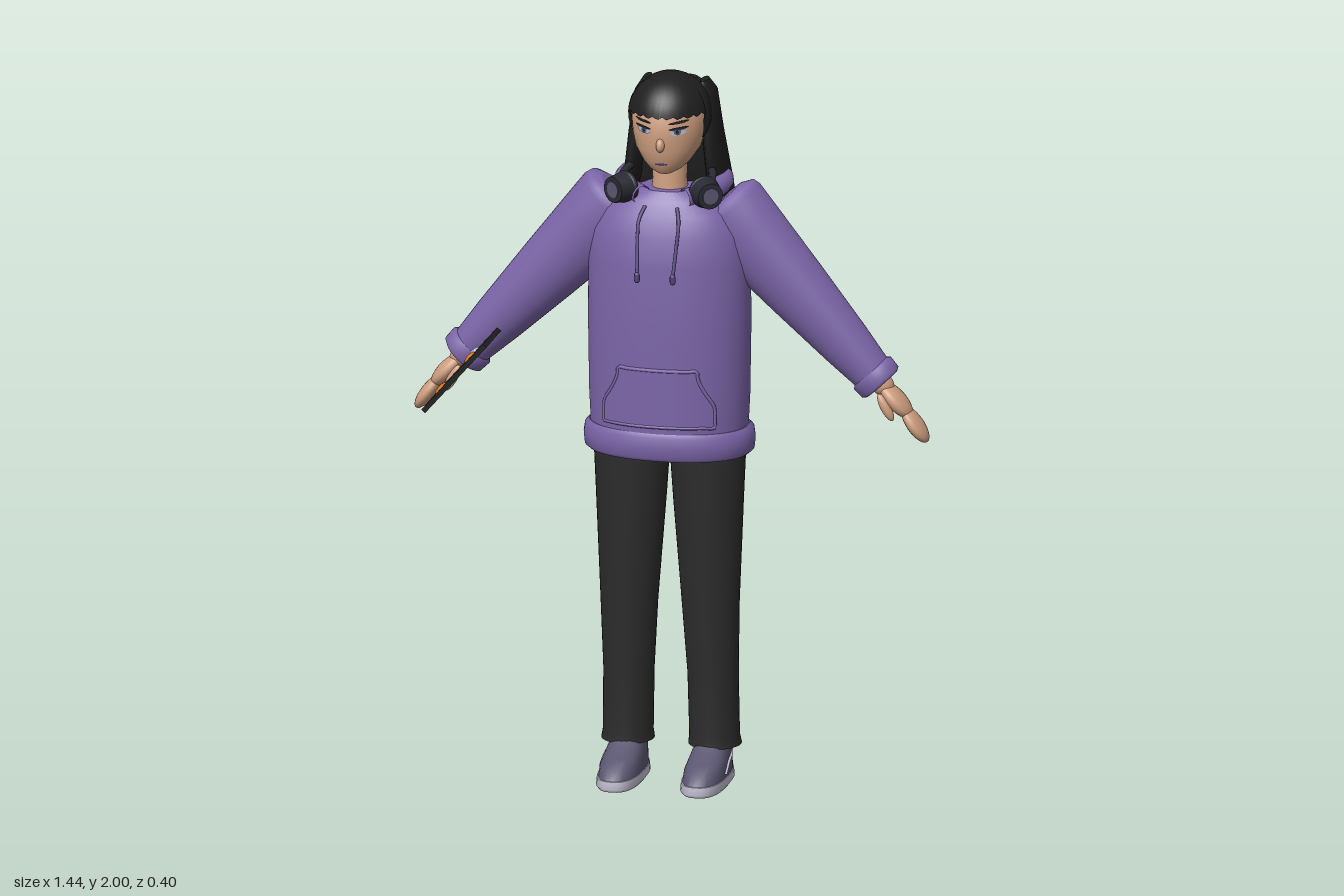
import * as THREE from 'three';

const mat = (name, color, side = THREE.FrontSide) => {
  const m = new THREE.MeshStandardMaterial({ color, side });
  m.name = name;
  return m;
};

// Stack of oval rings, listed upwards: [y, rx, rz, cx, cz]; n is the superellipse power
function loft(rings, { seg = 32, n = 2, jag = 0 } = {}) {
  const pos = [], idx = [];
  const sp = (t) => Math.sign(t) * Math.abs(t) ** (2 / n);
  const ring = ([y, rx, rz, cx = 0, cz = 0], bottom) => {
    for (let j = 0; j < seg; j++) {
      const a = (j / seg) * Math.PI * 2;
      const dy = bottom ? jag * Math.sin(j * 2.3) * Math.cos(j * 0.9) : 0;
      pos.push(cx + rx * sp(Math.cos(a)), y + dy, cz + rz * sp(Math.sin(a)));
    }
  };
  rings.forEach((r, i) => ring(r, i === 0));
  for (let i = 0; i < rings.length - 1; i++) {
    for (let j = 0; j < seg; j++) {
      const a = i * seg + j, b = i * seg + ((j + 1) % seg);
      idx.push(a, a + seg, b, b, a + seg, b + seg);
    }
  }
  // end caps with their own vertices so the rims stay crisp
  [rings[0], rings[rings.length - 1]].forEach((r, top) => {
    const start = pos.length / 3;
    ring(r, !top);
    pos.push(r[3] || 0, r[0], r[4] || 0);
    for (let j = 0; j < seg; j++) {
      const a = start + j, b = start + ((j + 1) % seg);
      if (top) idx.push(start + seg, b, a);
      else idx.push(start + seg, a, b);
    }
  });
  return build(pos, idx);
}

function build(pos, idx) {
  const g = new THREE.BufferGeometry();
  g.setAttribute('position', new THREE.Float32BufferAttribute(pos, 3));
  g.setIndex(idx);
  g.computeVertexNormals();
  return g;
}

// Sheet from fn(u, v) -> [x, y, z]
function sheet(fn, nu, nv) {
  const pos = [], idx = [];
  for (let i = 0; i <= nv; i++) for (let j = 0; j <= nu; j++) pos.push(...fn(j / nu, i / nv));
  for (let i = 0; i < nv; i++) for (let j = 0; j < nu; j++) {
    const a = i * (nu + 1) + j, b = a + nu + 1;
    idx.push(a, a + 1, b, b, a + 1, b + 1);
  }
  return build(pos, idx);
}

const tube = (pts, r, seg = 32) => new THREE.TubeGeometry(
  new THREE.CatmullRomCurve3(pts.map((p) => new THREE.Vector3(...p))), seg, r, 10);

const HEAD = [[1.733, 0.022, 0.025, 0, 0.053], [1.745, 0.045, 0.045, 0, 0.043], [1.765, 0.066, 0.068, 0, 0.03],
  [1.8, 0.089, 0.095, 0, 0.014], [1.84, 0.1, 0.109, 0, 0.002], [1.9, 0.104, 0.115, 0, 0], [1.95, 0.08, 0.09, 0, -0.01]];

// Depth of the face at x, y
function faceZ(x, y) {
  const i = Math.max(0, HEAD.findIndex((r) => r[0] > y) - 1);
  const [a, b] = [HEAD[i], HEAD[i + 1]], t = (y - a[0]) / (b[0] - a[0]);
  const [rx, rz, cz] = [1, 2, 4].map((k) => a[k] + (b[k] - a[k]) * t);
  return cz + rz * Math.sqrt(Math.max(0, 1 - (x / rx) ** 2));
}

export function createModel() {
  const root = new THREE.Group();
  const hoodie = mat('hoodie purple', 0x7b65a8, THREE.DoubleSide);
  const cord = mat('cord dark purple', 0x55457a);
  const pants = mat('trouser black', 0x2c2c2c);
  const hair = mat('hair black', 0x1f1f1f, THREE.DoubleSide);
  const skin = mat('skin', 0xcf9f80);
  const shoe = mat('shoe grey violet', 0x5b5670);
  const pale = mat('pale lavender', 0xc2bed2);
  const dark = mat('headphone charcoal', 0x292932);
  const orange = mat('orange', 0xd27a1c);
  const blue = mat('eye blue', 0x4a6f9c);
  const add = (name, geo, m, parent = root) => {
    const o = new THREE.Mesh(geo, m);
    o.name = name;
    parent.add(o);
    return o;
  };

  // Hoodie body and hem
  add('hoodieBody', loft([[0.96, 0.215, 0.146], [1.1, 0.222, 0.15], [1.3, 0.225, 0.152], [1.48, 0.224, 0.146],
    [1.56, 0.214, 0.133], [1.62, 0.185, 0.112], [1.655, 0.14, 0.09], [1.68, 0.075, 0.07]], { seg: 48, n: 2.2 }), hoodie);
  add('hem', loft([[0.935, 0.222, 0.145], [0.945, 0.234, 0.154], [0.975, 0.237, 0.157], [1.003, 0.233, 0.154],
    [1.014, 0.221, 0.147]], { seg: 48, n: 2.2 }), hoodie);

  // Front pocket with a raised border, wrapped round the belly
  const pocketAt = (u, v, off) => {
    const w = v < 0.35 ? 0.155 : 0.155 - 0.045 * Math.sin(((v - 0.35) / 0.65) * Math.PI / 2) ** 1.2;
    const x = u * w;
    return [x, 1.035 + 0.16 * v, 0.15 * (1 - (Math.abs(x) / 0.222) ** 2.2) ** (1 / 2.2) + off];
  };
  add('pocket', sheet((u, v) => pocketAt(u * 2 - 1, v, 0.007), 20, 10), hoodie);
  const border = [];
  for (let i = 0; i <= 10; i++) border.push(pocketAt(-1, i / 10, 0.004));
  for (let i = 1; i <= 10; i++) border.push(pocketAt(-1 + i / 5, 1, 0.004));
  for (let i = 1; i <= 10; i++) border.push(pocketAt(1, 1 - i / 10, 0.004));
  for (let i = 1; i <= 10; i++) border.push(pocketAt(1 - i / 5, 0, 0.004));
  add('pocketBorder', tube(border, 0.005, 100), hoodie);

  // Hood lying round the neck
  add('hood', tube([[-0.06, 1.665, 0.07], [-0.115, 1.675, 0.02], [-0.135, 1.685, -0.07], [-0.085, 1.69, -0.14],
    [0, 1.69, -0.16], [0.085, 1.69, -0.14], [0.135, 1.685, -0.07], [0.115, 1.675, 0.02], [0.06, 1.665, 0.07]], 0.028, 48), hoodie);

  for (const s of [-1, 1]) {
    const side = s > 0 ? 'left' : 'right';

    // Drawstring with a knotted end
    add(side + 'Drawstring', tube([[s * 0.045, 1.645, 0.1], [s * 0.056, 1.61, 0.128], [s * 0.054, 1.54, 0.15],
      [s * 0.05, 1.465, 0.172]], 0.005), cord);
    add(side + 'DrawstringEnd', new THREE.CapsuleGeometry(0.008, 0.015, 4, 8), cord).position.set(s * 0.05, 1.462, 0.172);

    // Arm: sleeve, cuff, hand
    const arm = new THREE.Group();
    arm.name = side + 'Arm';
    arm.position.set(s * 0.145, 1.625, -0.026);
    arm.rotation.z = s * 0.75;
    root.add(arm);
    add('sleeve', loft([[-0.62, 0.057, 0.053], [-0.5, 0.072, 0.064], [-0.3, 0.092, 0.078], [-0.1, 0.11, 0.088],
      [-0.02, 0.117, 0.089], [0, 0.112, 0.085], [0.015, 0.08, 0.06]]), hoodie, arm);
    add('cuff', loft([[-0.652, 0.055, 0.05], [-0.645, 0.066, 0.058], [-0.612, 0.068, 0.06], [-0.602, 0.056, 0.052]]), hoodie, arm);
    const blob = (name, x, y, z, sx, sy, sz, rot = 0) => {
      const o = add(name, new THREE.SphereGeometry(1, 20, 14), skin, arm);
      o.position.set(x, y, z);
      o.scale.set(sx, sy, sz);
      o.rotation.z = rot;
    };
    blob('wrist', 0, -0.65, 0, 0.03, 0.04, 0.032);
    blob('palm', 0, -0.71, 0, 0.025, 0.062, 0.045);
    blob('fingers', -s * 0.006, -0.795, 0, 0.021, 0.058, 0.042, -s * 0.12);
    blob('thumb', -s * 0.025, -0.705, 0.034, 0.014, 0.042, 0.015, -s * 0.25);

    // Trouser leg
    add(side + 'Leg', loft([[0.1, 0.073, 0.077, s * 0.122, -0.022], [0.125, 0.069, 0.073, s * 0.121, -0.02],
      [0.3, 0.07, 0.069, s * 0.118, -0.015], [0.5, 0.079, 0.075, s * 0.114, -0.004],
      [0.8, 0.097, 0.09, s * 0.108, -0.003], [0.96, 0.106, 0.097, s * 0.106, -0.003]]), pants);

    // Shoe
    add(side + 'Sole', loft([[0, 0.056, 0.14, s * 0.118, 0.05], [0.008, 0.062, 0.146, s * 0.118, 0.05],
      [0.03, 0.06, 0.143, s * 0.118, 0.05]], { n: 2.6 }), pale);
    add(side + 'Shoe', loft([[0.028, 0.058, 0.14, s * 0.118, 0.049], [0.055, 0.056, 0.13, s * 0.118, 0.04],
      [0.075, 0.052, 0.107, s * 0.118, 0.018], [0.095, 0.048, 0.08, s * 0.118, -0.008],
      [0.118, 0.045, 0.062, s * 0.118, -0.024]], { n: 2.5 }), shoe);
    add(side + 'ShoeStripe', tube([[s * 0.176, 0.038, 0.08], [s * 0.174, 0.062, 0.035], [s * 0.17, 0.072, -0.01],
      [s * 0.163, 0.078, -0.045]], 0.004, 16), pale);

    // Hanging side lock of hair
    add(side + 'HairLock', loft([[1.54, 0.015, 0.035, s * 0.13, -0.15], [1.6, 0.024, 0.055, s * 0.13, -0.13],
      [1.7, 0.03, 0.078, s * 0.115, -0.092], [1.82, 0.025, 0.07, s * 0.103, -0.075],
      [1.93, 0.02, 0.058, s * 0.092, -0.075], [1.965, 0.01, 0.03, s * 0.08, -0.075]], { seg: 20 }), hair);

    // Headphone cup
    const cup = new THREE.Group();
    cup.name = side + 'HeadphoneCup';
    cup.position.set(s * 0.123, 1.682, 0.072);
    cup.rotation.set(0, s * 0.6, 0);
    root.add(cup);
    add('cupShell', new THREE.CylinderGeometry(0.036, 0.044, 0.05, 28).rotateX(Math.PI / 2), dark, cup);
    add('cupCushion', new THREE.TorusGeometry(0.033, 0.012, 10, 28), dark, cup).position.z = -0.024;
    add('cupDisc', new THREE.CylinderGeometry(0.022, 0.022, 0.004, 24).rotateX(Math.PI / 2), shoe, cup).position.z = 0.025;

    // Eye, lash and brow laid on the face
    const patch = (name, cx, cy, rx, ry, off, m, tilt = 0) => {
      const sh = new THREE.Shape().absellipse(s * cx, cy, rx, ry, 0, Math.PI * 2, false, s * tilt);
      const g = new THREE.ShapeGeometry(sh, 10), p = g.attributes.position;
      for (let i = 0; i < p.count; i++) p.setZ(i, faceZ(p.getX(i), p.getY(i)) + off);
      g.computeVertexNormals();
      add(side + name, g, m);
    };
    patch('EyeWhite', 0.048, 1.862, 0.021, 0.009, 0.003, pale, 0.1);
    patch('Iris', 0.047, 1.862, 0.009, 0.009, 0.0045, blue);
    patch('Pupil', 0.047, 1.862, 0.004, 0.005, 0.006, hair);
    patch('Lash', 0.05, 1.872, 0.025, 0.004, 0.006, hair, 0.12);
    patch('Brow', 0.05, 1.889, 0.026, 0.004, 0.004, hair, 0.15);
    patch('Lip', 0.006, 1.766, 0.012, 0.003, 0.003, cord);
  }

  // Headphone band behind the neck
  add('headphoneBand', tube([[-0.125, 1.7, 0.06], [-0.12, 1.72, 0], [-0.085, 1.73, -0.07], [0, 1.735, -0.1],
    [0.085, 1.73, -0.07], [0.12, 1.72, 0], [0.125, 1.7, 0.06]], 0.011, 40), dark);

  // Head, neck and nose
  add('neck', loft([[1.64, 0.054, 0.052, 0, -0.002], [1.7, 0.047, 0.046, 0, -0.002], [1.8, 0.05, 0.05, 0, -0.01]]), skin);
  add('head', loft(HEAD), skin);
  const nose = add('nose', new THREE.SphereGeometry(1, 16, 12), skin);
  nose.position.set(0, 1.822, 0.108);
  nose.scale.set(0.012, 0.02, 0.016);
  nose.rotation.x = -0.3;

  // Hair cap with a fringe cut straight across the brow
  add('hairCap', sheet((u, v) => {
    const a = u * Math.PI * 2, front = Math.cos(a);
    const low = front > 0.25 ? 1.902 + 0.004 * Math.sin(u * 150) : 1.8;
    const p = v * Math.acos((low - 1.885) / 0.115);
    const r = Math.sin(p);
    return [Math.sin(a) * r * 0.114, 1.885 + 0.115 * Math.cos(p), -0.004 + front * r * 0.129];
  }, 72, 14).scale(1, 1, 1), hair).material.side = THREE.DoubleSide;

  // Long back hair with a ragged end
  add('backHair', loft([[1.36, 0.15, 0.025, 0, -0.175], [1.45, 0.158, 0.04, 0, -0.155], [1.55, 0.158, 0.05, 0, -0.135],
    [1.65, 0.145, 0.06, 0, -0.11], [1.75, 0.128, 0.064, 0, -0.097], [1.88, 0.115, 0.062, 0, -0.085],
    [1.94, 0.1, 0.055, 0, -0.08], [1.97, 0.06, 0.03, 0, -0.07]], { seg: 48, n: 2.6, jag: 0.03 }), hair);

  // Flat board against the right forearm, with small raised pieces
  const board = new THREE.Group();
  board.name = 'board';
  board.position.set(-0.556, 1.148, 0.012);
  board.rotation.z = 0.855;
  root.add(board);
  add('boardPanel', new THREE.BoxGeometry(0.262, 0.014, 0.38), hair, board);
  for (const [m, x, z, rx, rz] of [[skin, -0.076, -0.123, 0.02, 0.02], [pale, 0.04, -0.123, 0.022, 0.022],
    [pale, 0.045, 0.066, 0.024, 0.02], [orange, -0.076, 0.115, 0.019, 0.033], [orange, 0.053, 0.127, 0.02, 0.023]]) {
    const o = add('boardPiece', new THREE.SphereGeometry(1, 16, 10), m, board);
    o.position.set(x, 0.007, z);
    o.scale.set(rx, 0.008, rz);
  }
  return root;
}
